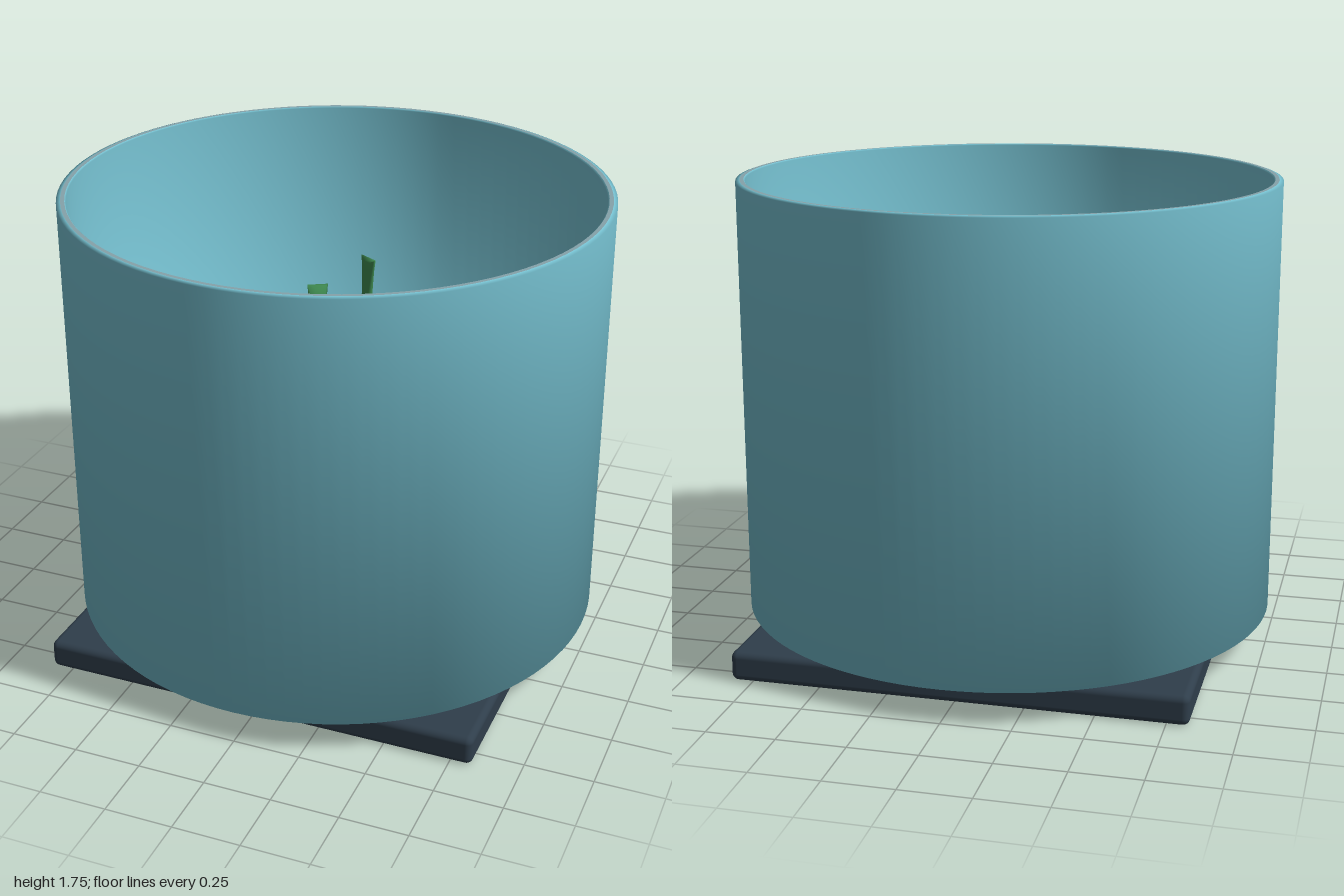
import * as THREE from 'three';
import { RoundedBoxGeometry } from 'three/addons/geometries/RoundedBoxGeometry.js';

const material = (name, color, extra = {}) => {
  const m = new THREE.MeshStandardMaterial({ color, ...extra });
  m.name = name;
  return m;
};

const lathe = pts => new THREE.LatheGeometry(pts.map(p => new THREE.Vector2(...p)), 96);

// Leaf blade: lens-shaped sections swept along a curve, widening towards the tip.
// angle is the direction of the blade's width in plan.
function bladeGeometry(points, baseWidth, tipWidth, angle, twist) {
  const curve = new THREE.CatmullRomCurve3(points.map(p => new THREE.Vector3(...p)));
  const rows = 14, sides = 10, pos = [], idx = [];
  const tangent = new THREE.Vector3(), wide = new THREE.Vector3(), thin = new THREE.Vector3();
  for (let i = 0; i <= rows; i++) {
    const t = i / rows, a = angle + twist * (1 - t);
    const c = curve.getPoint(t);
    curve.getTangent(t, tangent);
    wide.set(Math.cos(a), 0, Math.sin(a));
    wide.addScaledVector(tangent, -wide.dot(tangent)).normalize();
    thin.crossVectors(tangent, wide);
    const w = (baseWidth + (tipWidth - baseWidth) * t * t) / 2;
    const h = 0.028 * (1 - t) + 0.007;
    for (let j = 0; j < sides; j++) {
      const b = (j / sides) * Math.PI * 2;
      const p = c.clone().addScaledVector(wide, Math.cos(b) * w).addScaledVector(thin, Math.sin(b) * h);
      // Swept-back corners give the tip its concave edge
      p.addScaledVector(tangent, Math.cos(b) ** 2 * t ** 4 * tipWidth * 0.2);
      pos.push(p.x, p.y, p.z);
    }
  }
  for (let i = 0; i < rows; i++) {
    for (let j = 0; j < sides; j++) {
      const a = i * sides + j, b = i * sides + (j + 1) % sides;
      idx.push(a, b, a + sides, b, b + sides, a + sides);
    }
  }
  for (let j = 1; j < sides - 1; j++) {
    const e = rows * sides;
    idx.push(0, j + 1, j, e, e + j, e + j + 1);
  }
  const g = new THREE.BufferGeometry();
  g.setAttribute('position', new THREE.Float32BufferAttribute(pos, 3));
  g.setIndex(idx);
  g.computeVertexNormals();
  return g;
}

export function createModel() {
  const model = new THREE.Group();
  const teal = material('teal glaze', 0x78c4d4);
  const grey = material('grey rim', 0x86a3aa);
  const dark = material('dark slate', 0x2f3e4b);
  const green = material('leaf green', 0x3f8a50, { side: THREE.DoubleSide });

  const add = (parent, name, geometry, mat) => {
    const mesh = new THREE.Mesh(geometry, mat);
    mesh.name = name;
    parent.add(mesh);
    return mesh;
  };

  // Square base plate
  add(model, 'base', new RoundedBoxGeometry(1.66, 0.11, 1.66, 4, 0.025), dark).position.y = 0.055;

  // Round tank: softly shaded outer wall, rim and inner wall with floor
  add(model, 'outerWall', lathe([[0, 0.125], [1, 0.125], [1, 1.74], [0.985, 1.745]]), teal);
  add(model, 'rim', lathe([[0.985, 1.745], [0.97, 1.745]]), grey);
  add(model, 'innerWall', lathe([[0.97, 1.745], [0.965, 1.74], [0.965, 0.16], [0, 0.16]]), teal);

  // Plant: two wavy stems carrying flared leaves
  const plant = new THREE.Group();
  plant.name = 'plant';
  model.add(plant);
  const stems = [
    [[-0.06, 0.15, 0], [-0.14, 0.5, 0.01], [-0.09, 0.85, -0.03], [-0.13, 1.15, -0.04]],
    [[0.06, 0.15, 0], [0.14, 0.5, -0.03], [0.08, 0.9, 0], [0.11, 1.25, -0.03]],
  ];
  for (const s of stems) {
    const curve = new THREE.CatmullRomCurve3(s.map(p => new THREE.Vector3(...p)));
    add(plant, 'stem', new THREE.TubeGeometry(curve, 24, 0.032, 8), green);
  }

  // Leaves: root, tip, tip width, width direction
  const leaves = [
    [[0.12, 0.75, -0.02], [0.34, 1.12, -0.18], 0.2, 0.9],
    [[-0.12, 0.7, 0], [-0.1, 1.05, 0.16], 0.2, -0.42],
    [[-0.12, 0.8, -0.02], [-0.3, 1.1, 0], 0.07, -0.4],
    [[-0.11, 1.0, -0.04], [-0.13, 1.28, -0.13], 0.09, 2.2],
    [[-0.09, 0.85, -0.03], [-0.05, 1.2, -0.15], 0.08, -0.5],
    [[0.09, 0.95, 0], [0.02, 1.25, -0.1], 0.07, 1.2],
    [[0.1, 1.05, -0.01], [0.1, 1.45, -0.06], 0.09, 0.6],
    [[0.1, 0.85, -0.01], [0.1, 1.15, -0.17], 0.08, 0.4],
    [[0.08, 0.7, 0], [0.02, 1.0, 0.07], 0.08, 0.5],
    [[-0.1, 0.55, 0], [-0.03, 0.9, 0.05], 0.07, 1.2],
    [[0.12, 0.6, -0.02], [0.27, 0.95, 0.05], 0.08, 0.8],
    [[0.1, 1.0, -0.02], [0.23, 1.33, -0.04], 0.08, -0.4],
    [[-0.13, 0.4, 0], [-0.23, 0.72, -0.05], 0.12, 0.7],
    [[0.13, 0.4, -0.02], [0.2, 0.75, -0.1], 0.13, 0.3],
  ];
  for (const [root, tip, width, angle] of leaves) {
    const mid = [0, 1, 2].map(k => root[k] * (k === 1 ? 0.5 : 0.4) + tip[k] * (k === 1 ? 0.5 : 0.6));
    add(plant, 'leaf', bladeGeometry([root, mid, tip], 0.05, width, angle, 0.7), green);
  }
  return model;
}
